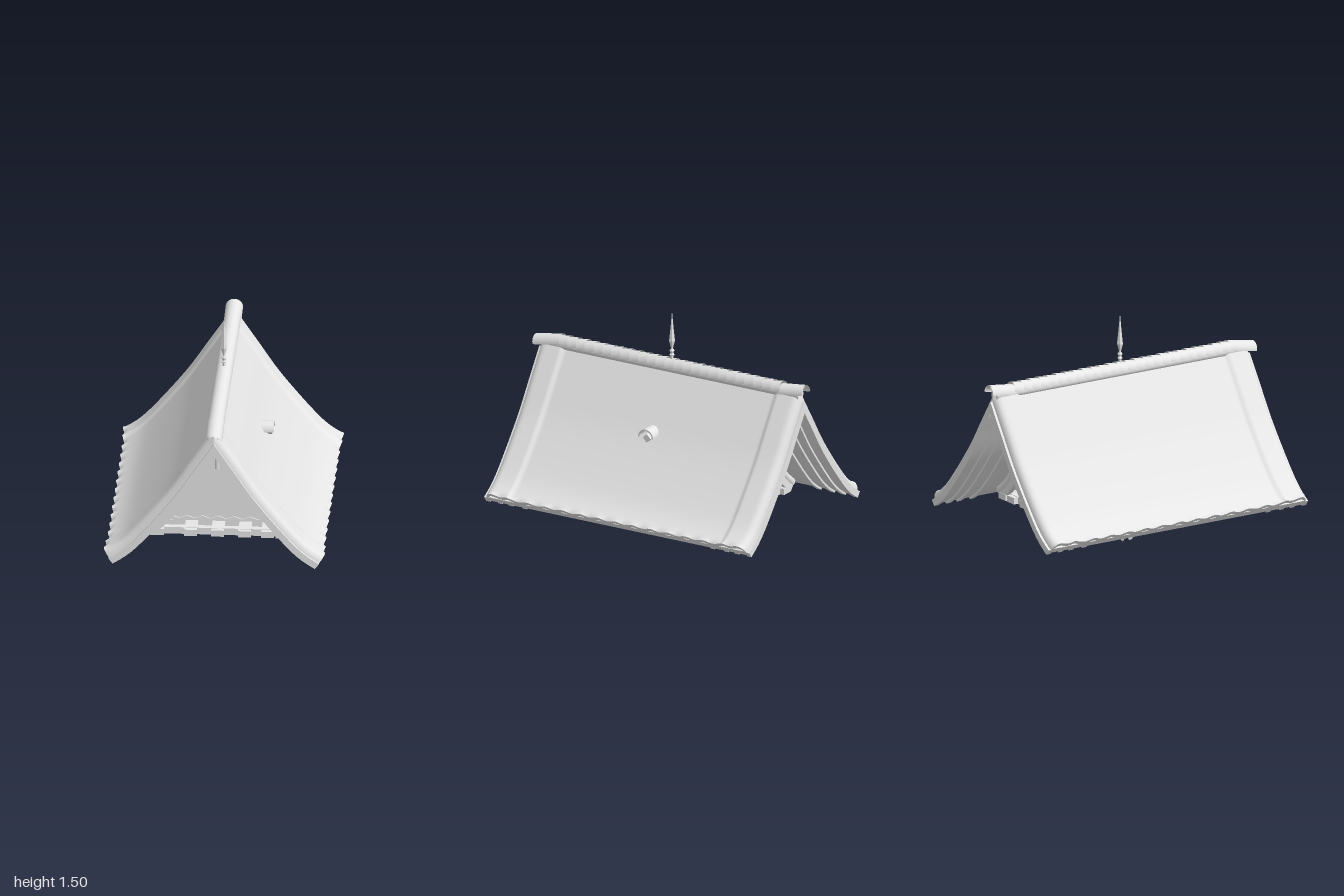
import * as THREE from 'three';
import { toCreasedNormals } from 'three/addons/utils/BufferGeometryUtils.js';

const pale = new THREE.MeshStandardMaterial({ color: 0xe6e6e6, side: THREE.DoubleSide });
pale.name = 'paleGrey';

const curve = (pts) => new THREE.SplineCurve(pts.map((p) => new THREE.Vector2(...p)));
const bigSlope = curve([[0, 1.15], [0.15, 0.925], [0.31, 0.69], [0.55, 0.405], [0.69, 0.298]]);
const smallSlope = curve([[0, 0.94], [0.1, 0.79], [0.25, 0.565], [0.38, 0.4], [0.47, 0.325]]);
const { smoothstep } = THREE.MathUtils;

// Curved slab under one slope, between depths d0 and d1, from z0 to z1
function slabGeometry(slope, side, d0, d1, z0, z1, nz = 1, bump = () => 0) {
  const n = 24, pos = [], idx = [], ring = 2 * (n + 1);
  const normalAt = (u) => { const t = slope.getTangent(u); return new THREE.Vector2(-t.y, t.x); };
  const ridge = slope.getPoint(0), n0 = normalAt(0);
  for (let i = 0; i <= nz; i++) {
    const z = z0 + (z1 - z0) * i / nz;
    for (let k = 0; k < ring; k++) {
      const outer = k <= n, u = (outer ? k : ring - 1 - k) / n;
      const d = (outer ? d0 : d1) - bump(z, u);
      const p = slope.getPoint(u).addScaledVector(normalAt(u), -d);
      if (p.x < 0) p.set(0, ridge.y - d / n0.y);
      pos.push(p.x * side, p.y, z);
    }
  }
  const tri = (a, b, c) => (side > 0 ? idx.push(a, b, c) : idx.push(a, c, b));
  const quad = (a, b, c, d) => { tri(a, b, c); tri(a, c, d); };
  for (let i = 0; i < nz; i++) for (let k = 0; k < ring; k++) {
    const a = i * ring + k, b = i * ring + (k + 1) % ring;
    quad(a, a + ring, b + ring, b);
  }
  const end = nz * ring;
  for (let k = 0; k < n; k++) {
    const o = k, o1 = k + 1, q = ring - 1 - k, q1 = ring - 2 - k;
    quad(end + o, end + q, end + q1, end + o1);
    quad(o, o1, q1, q);
  }
  const g = new THREE.BufferGeometry();
  g.setAttribute('position', new THREE.Float32BufferAttribute(pos, 3));
  g.setIndex(idx);
  return toCreasedNormals(g, 0.6);
}

export function createModel() {
  const model = new THREE.Group();
  const add = (name, geo, x = 0, y = 0, z = 0) => {
    const m = new THREE.Mesh(geo, pale);
    m.name = name;
    m.position.set(x, y, z);
    model.add(m);
    return m;
  };
  const box = (name, w, h, d, x, y, z) => add(name, new THREE.BoxGeometry(w, h, d), x, y, z);
  const arch = (r, len) => new THREE.CylinderGeometry(r, r, len, 18, 1, true, Math.PI / 2, Math.PI).rotateX(Math.PI / 2);

  // Verges swell and then roll over at both ends; the eaves edge is scalloped
  const mainBump = (z, u) => {
    const a = Math.abs(z), t = Math.max(0, (a - 0.91) / 0.055);
    return 0.014 * smoothstep(a, 0.775, 0.8) - 0.045 * (1 - Math.sqrt(Math.max(0, 1 - t * t)))
      + 0.009 * u ** 40 * Math.cos(z * Math.PI * 2 / 0.13);
  };
  for (const s of [-1, 1]) {
    add('mainRoofSlope', slabGeometry(bigSlope, s, 0.01, 0.035, -0.965, 0.965, 150, mainBump));
    add('mainRoofLining', slabGeometry(bigSlope, s, 0.034, 0.072, -0.95, 0.95));
    add('innerRoofSlope', slabGeometry(smallSlope, s, 0, 0.03, -0.6, 0.6));
    for (const e of [-1, 1]) {
      // Rafters and barge boards
      for (const z of [0.965, 0.875, 0.795, 0.695]) {
        add('mainRafter', slabGeometry(bigSlope, s, 0.042, 0.085, e * z - 0.016, e * z + 0.016));
      }
      for (const z of [0.6, 0.5]) {
        add('innerRafter', slabGeometry(smallSlope, s, 0.025, 0.075, e * z - 0.018, e * z + 0.018));
      }
      // Rounded verge of the inner roof
      const path = new THREE.CatmullRomCurve3([0, 0.25, 0.5, 0.75, 1].map((u) => {
        const p = smallSlope.getPoint(u), t = smallSlope.getTangent(u);
        return new THREE.Vector3((p.x + t.y * 0.012) * s, p.y - t.x * 0.012, e * 0.595);
      }));
      add('innerVerge', new THREE.TubeGeometry(path, 20, 0.03, 12));
    }
    // Purlins carrying the main roof above the inner roof
    for (const u of [0.24, 0.36, 0.48, 0.6, 0.72]) {
      const p = bigSlope.getPoint(u), t = bigSlope.getTangent(u);
      const m = box('purlin', 0.1, 0.05, 1.1, s * (p.x + t.y * 0.1), p.y - t.x * 0.1, 0);
      m.rotation.z = s * Math.atan2(t.y, t.x);
    }
  }

  // Ridge tiles, overlapping and tilted
  const tile = (r, len, y, z, tilt) => { add('ridgeTile', arch(r, len), 0, y, z).rotation.x = tilt; };
  for (let i = 0; i < 25; i++) tile(0.053, 0.078, 1.123, -0.79 + i * 0.0655, 0.16);
  for (const r of [0.055, 0.044]) {
    tile(r, 0.2, 1.112, 0.9, 0.17);
    tile(r, 0.17, 1.12, -0.905, 0.12);
  }
  add('ridgeBeam', new THREE.CylinderGeometry(0.036, 0.036, 1.9, 14).rotateX(Math.PI / 2), 0, 1.115, 0);
  add('innerRidge', arch(0.05, 1.25), 0, 0.91, 0);

  // Spire
  const spire = [[0, 1.16], [0.012, 1.16], [0.012, 1.195], [0.018, 1.2], [0.01, 1.212], [0.017, 1.228],
    [0.009, 1.24], [0.008, 1.25], [0.021, 1.295], [0.011, 1.38], [0, 1.495]].map((p) => new THREE.Vector2(...p));
  add('spire', toCreasedNormals(new THREE.LatheGeometry(spire, 6), 0.3));

  // Small barrel hood set into the left slope
  for (const r of [0.055, 0.045]) add('ventHood', arch(r, 0.1).rotateY(Math.PI / 2), 0.268, 0.742, 0);
  add('ventHoodRim', new THREE.RingGeometry(0.045, 0.055, 18, 1, 0, Math.PI).rotateY(Math.PI / 2), 0.318, 0.742, 0);
  box('ventBlock', 0.04, 0.04, 0.04, 0.285, 0.735, 0).rotation.x = Math.PI / 4;

  // Gable ends
  const gable = new THREE.Shape([[-0.36, 0.34], [0.36, 0.34], [0.2, 0.56], [0, 0.85], [-0.2, 0.56]].map((p) => new THREE.Vector2(...p)));
  const zig = new THREE.Shape();
  zig.moveTo(-0.36, 0.335);
  zig.lineTo(0.36, 0.335);
  for (let i = 0; i <= 14; i++) zig.lineTo(0.35 - i * 0.05, i % 2 ? 0.367 : 0.348);
  for (const e of [-1, 1]) {
    add('gablePanel', new THREE.ExtrudeGeometry(gable, { depth: 0.02, bevelEnabled: false }), 0, 0, e * 0.5 - 0.01);
    add('scallopedSill', new THREE.ExtrudeGeometry(zig, { depth: 0.008, bevelEnabled: false }), 0, 0, e * 0.516 - 0.004);
    add('gablePendant', new THREE.CylinderGeometry(0.016, 0.016, 0.075, 6), 0, 0.78, e * 0.62);
    box('collarBeam', 0.2, 0.03, 0.04, 0, 0.885, e * 0.55);
    box('tieBeam', 1.04, 0.035, 0.04, 0, 0.335, e * 0.45);

    // Double floor frame
    box('outerFrameEnd', 0.86, 0.045, 0.04, 0, 0.293, e * 0.57);
    box('outerFrameSide', 0.04, 0.045, 1.14, e * 0.41, 0.293, 0);
    box('innerFrameEnd', 0.64, 0.045, 0.04, 0, 0.3, e * 0.45);
    box('innerFrameSide', 0.04, 0.045, 0.9, e * 0.3, 0.3, 0);
    for (const x of [-0.39, -0.175, 0, 0.175, 0.325, 0.42]) box('frameBlock', 0.08, 0.042, 0.2, x * 0.97, 0.292, e * 0.52);
    for (let i = 0; i < 7; i++) box('sideBlock', 0.16, 0.042, 0.06, e * 0.37, 0.292, -0.45 + i * 0.15);
  }

  // Hanging cluster: thin plates with little dangling blocks
  let seed = 7;
  const rnd = () => (seed = (seed * 16807) % 2147483647) / 2147483647;
  const strands = [[-0.235, 0.2], [-0.19, 0.23], [-0.15, 0.17], [-0.115, 0.045], [-0.08, 0.13], [-0.035, 0.025],
    [0, 0.06], [0.03, 0.02], [0.07, 0.11], [0.105, 0.13], [0.125, 0.2]];
  for (const [x, low] of strands) {
    for (let y = 0.46; y > low; y -= 0.025) {
      const size = y - low < 0.07 ? 0.02 : 0.055;
      const m = box('hangingPlate', size, size * 1.3, 0.008, x + (rnd() - 0.5) * 0.02, y, (rnd() - 0.5) * 0.035);
      m.rotation.set((rnd() - 0.5) * 0.6, (rnd() - 0.5) * 0.9, rnd() * 2);
    }
    box('hangingTip', 0.018, 0.018, 0.018, x, low, 0).rotation.set(0.3, 0.4, 0.78);
  }
  add('lowestDrop', new THREE.OctahedronGeometry(0.014), -0.03, 0.014, 0);
  return model;
}
